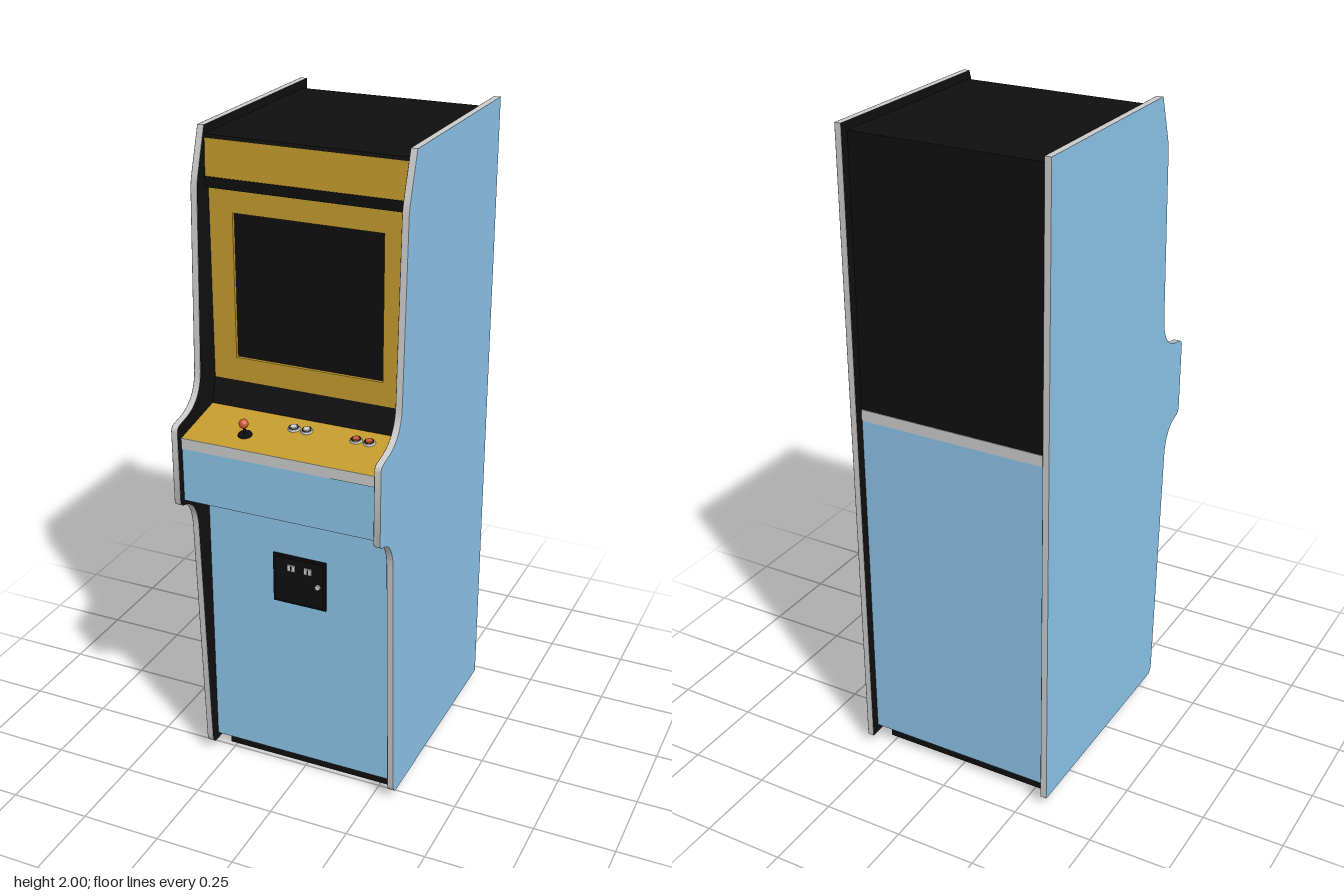
import * as THREE from 'three';
import { toCreasedNormals } from 'three/addons/utils/BufferGeometryUtils.js';

const mat = (color) => new THREE.MeshStandardMaterial({ color });
const grey = mat(0xcccccc);
const blue = mat(0x8bc3e8);
const black = mat(0x0f0f0f);
const yellow = mat(0xc49b2e);
const orange = mat(0xd05a35);
const skin = (color) => new THREE.MeshStandardMaterial({ color, side: THREE.DoubleSide });

const HALF = 0.3; // half width between the side panels
const SIDE = 0.02; // side panel thickness

function add(parent, name, geometry, material, x = 0, y = 0, z = 0) {
  const mesh = new THREE.Mesh(geometry, material);
  mesh.name = name;
  mesh.position.set(x, y, z);
  parent.add(mesh);
  return mesh;
}

// box given by its limits
function block(parent, name, material, [x0, x1], [y0, y1], [z0, z1]) {
  return add(parent, name, new THREE.BoxGeometry(x1 - x0, y1 - y0, z1 - z0), material,
    (x0 + x1) / 2, (y0 + y1) / 2, (z0 + z1) / 2);
}

// (z, y) profile extruded across the width between the side panels
function prism(parent, name, material, points) {
  const shape = new THREE.Shape(points.map(([z, y]) => new THREE.Vector2(z, y)));
  const geometry = new THREE.ExtrudeGeometry(shape, { depth: HALF * 2, bevelEnabled: false });
  geometry.rotateY(-Math.PI / 2);
  return add(parent, name, geometry, material, HALF);
}

// outline of a side panel, drawn in (z, y)
function sideShape() {
  const s = new THREE.Shape();
  s.moveTo(-0.433, 0.03);
  s.lineTo(0.28, 0.03);
  s.quadraticCurveTo(0.303, 0.03, 0.305, 0.06);
  s.lineTo(0.336, 0.83);
  s.quadraticCurveTo(0.34, 0.925, 0.415, 0.94);
  s.quadraticCurveTo(0.433, 0.944, 0.434, 0.96);
  s.lineTo(0.434, 1.175);
  s.quadraticCurveTo(0.434, 1.193, 0.415, 1.196);
  s.lineTo(0.395, 1.2);
  s.quadraticCurveTo(0.297, 1.215, 0.29, 1.31);
  s.lineTo(0.268, 1.83);
  s.quadraticCurveTo(0.267, 1.85, 0.26, 1.873);
  s.lineTo(0.217, 2);
  s.lineTo(-0.433, 2);
  return s;
}

function sidePanel(sign) {
  const g = new THREE.Group();
  g.name = sign > 0 ? 'leftSidePanel' : 'rightSidePanel';
  const shape = sideShape();
  const edge = new THREE.ExtrudeGeometry(shape, { depth: SIDE - 0.001, bevelEnabled: false, curveSegments: 10 });
  edge.rotateY(-Math.PI / 2);
  add(g, 'edgeTrim', toCreasedNormals(edge, 0.6), grey, sign * (HALF + SIDE / 2) + (SIDE - 0.001) / 2);
  const face = new THREE.ShapeGeometry(shape, 10).rotateY(-Math.PI / 2);
  // normals of the face follow the side it is seen from
  const outward = face.clone();
  const inward = face.clone();
  (sign > 0 ? outward : inward).index.array.reverse();
  const flip = (sign > 0 ? outward : inward).attributes.normal;
  for (let i = 0; i < flip.count; i++) flip.setX(i, -flip.getX(i));
  add(g, 'outerFace', outward, skin(0x8bc3e8), sign * (HALF + SIDE));
  add(g, 'innerFace', inward, skin(0x0f0f0f), sign * HALF);
  return g;
}

function pushButton(name, capMaterial) {
  const g = new THREE.Group();
  g.name = name;
  add(g, 'bezel', new THREE.CylinderGeometry(0.016, 0.018, 0.006, 24), grey, 0, 0.003);
  const ring = add(g, 'ring', new THREE.TorusGeometry(0.0125, 0.0015, 8, 24), black, 0, 0.006);
  ring.rotation.x = Math.PI / 2;
  add(g, 'cap', new THREE.CylinderGeometry(0.01, 0.011, 0.009, 24), capMaterial, 0, 0.0055);
  return g;
}

function joystick() {
  const g = new THREE.Group();
  g.name = 'joystick';
  add(g, 'dustWasher', new THREE.CylinderGeometry(0.02, 0.021, 0.004, 24), black, 0, 0.002);
  add(g, 'shaft', new THREE.CylinderGeometry(0.004, 0.004, 0.03, 12), black, 0, 0.015);
  add(g, 'ball', new THREE.SphereGeometry(0.014, 24, 16), orange, 0, 0.038);
  return g;
}

function coinDoor() {
  const g = new THREE.Group();
  g.name = 'coinDoor';
  block(g, 'frame', black, [-0.088, 0.083], [0.6, 0.762], [0.27, 0.276]);
  block(g, 'door', black, [-0.08, 0.075], [0.608, 0.754], [0.276, 0.28]);
  for (const x of [-0.026, 0.028]) {
    block(g, 'coinSlot', grey, [x - 0.012, x + 0.012], [0.715, 0.735], [0.28, 0.284]);
    block(g, 'slotOpening', black, [x - 0.002, x + 0.002], [0.718, 0.732], [0.284, 0.285]);
  }
  const lock = add(g, 'lock', new THREE.CylinderGeometry(0.008, 0.008, 0.008, 20), grey, 0.06, 0.68, 0.282);
  lock.rotation.x = Math.PI / 2;
  return g;
}

export function createModel() {
  const model = new THREE.Group();
  model.name = 'arcadeCabinet';
  const wide = [-HALF, HALF];

  // carcass and plinth
  block(model, 'plinth', black, [-0.273, 0.273], [0, 0.055], [-0.37, 0.235]);
  prism(model, 'carcass', black, [
    [-0.4, 0.05], [0.262, 0.05], [0.262, 0.96], [0.4, 0.96], [0.4, 1.145], [0.226, 1.178],
    [0.226, 1.19], [0.204, 1.262], [0.19, 1.262], [0.19, 1.83], [0.224, 1.83], [0.224, 1.86],
    [0.205, 1.86], [0.205, 1.965], [0.216, 1.965], [0.214, 1.975], [-0.4, 1.975],
  ]);
  model.add(sidePanel(1), sidePanel(-1));

  // back
  block(model, 'upperBack', black, wide, [1.165, 1.975], [-0.406, -0.4]);
  block(model, 'backRail', grey, wide, [1.13, 1.165], [-0.408, -0.4]);
  block(model, 'lowerBack', blue, wide, [0.055, 1.13], [-0.406, -0.4]);

  // lower front
  block(model, 'frontPanel', blue, wide, [0.05, 0.956], [0.262, 0.27]);
  block(model, 'controlBox', blue, wide, [0.955, 1.12], [0.262, 0.412]);
  model.add(coinDoor());

  // marquee and screen
  prism(model, 'marquee', yellow, [[0.205, 1.86], [0.221, 1.86], [0.217, 1.965], [0.205, 1.965]]);
  const bezel = new THREE.Shape([[-HALF, 1.262], [HALF, 1.262], [HALF, 1.83], [-HALF, 1.83]]
    .map(([x, y]) => new THREE.Vector2(x, y)));
  bezel.holes.push(new THREE.Path([[-0.228, 1.333], [-0.228, 1.76], [0.226, 1.76], [0.226, 1.333]]
    .map(([x, y]) => new THREE.Vector2(x, y))));
  add(model, 'screenBezel', new THREE.ExtrudeGeometry(bezel, { depth: 0.014, bevelEnabled: false }), yellow, 0, 0, 0.19);
  block(model, 'screen', black, [-0.228, 0.226], [1.333, 1.76], [0.185, 0.194]);

  // control deck
  prism(model, 'controlDeck', yellow, [[0.226, 1.176], [0.4, 1.143], [0.414, 1.153], [0.226, 1.187]]);
  prism(model, 'deckTrim', grey, [[0.398, 1.12], [0.415, 1.12], [0.415, 1.153], [0.398, 1.154]]);
  const slope = (1.187 - 1.153) / (0.414 - 0.226);
  const place = (part, x, z) => {
    part.position.set(x, 1.187 - slope * (z - 0.226), z);
    part.rotation.x = Math.atan(slope);
    model.add(part);
  };
  place(joystick(), -0.133, 0.345);
  for (const x of [-0.013, 0.027]) place(pushButton('startButton', grey), x, 0.276);
  for (const x of [0.178, 0.218]) place(pushButton('actionButton', orange), x, 0.276);

  return model;
}
